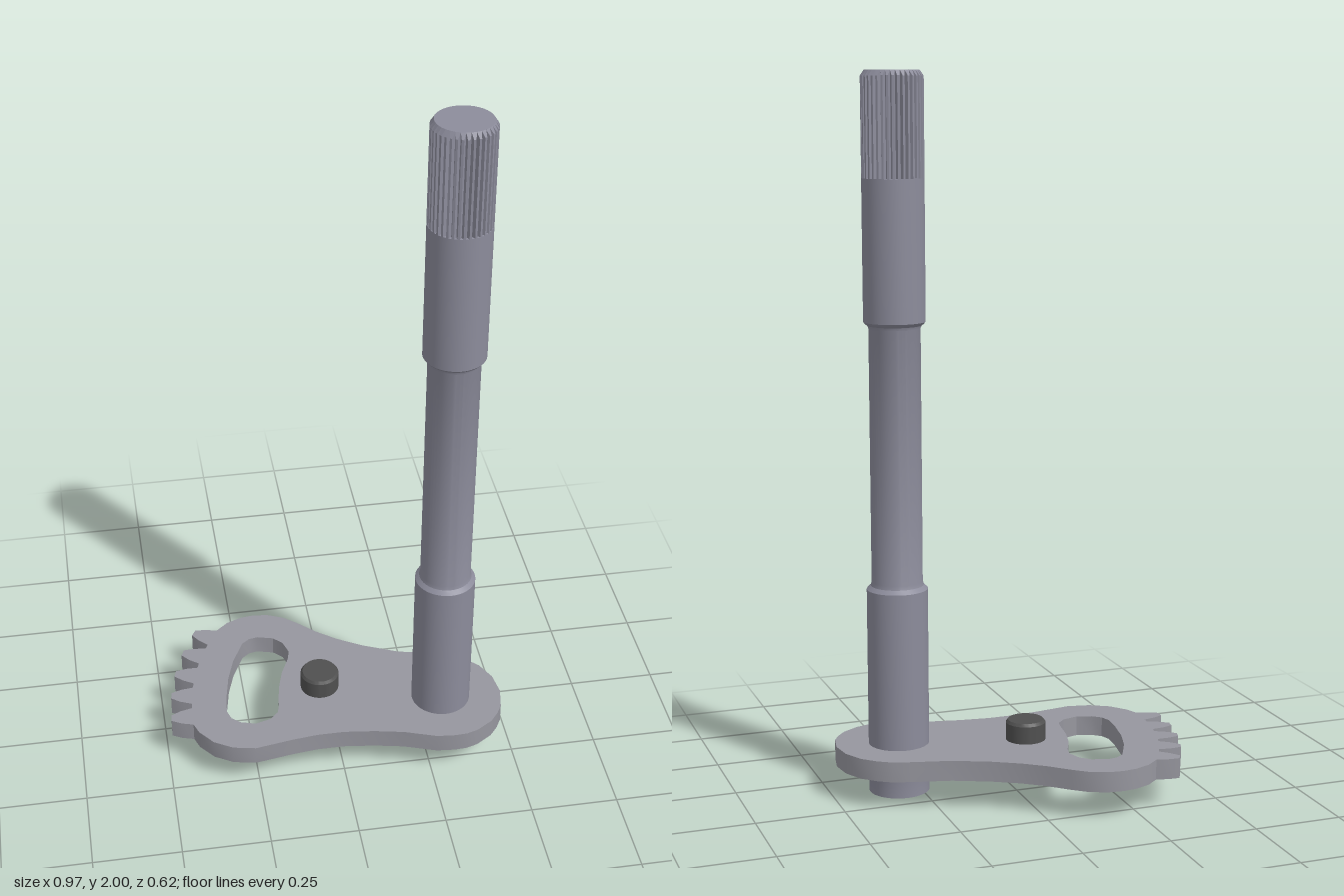
import * as THREE from 'three';
import { toCreasedNormals } from 'three/addons/utils/BufferGeometryUtils.js';

const AXIS = { x: 0.306, z: 0.13 }; // shaft centre, also the centre of the gear sector

const paint = (color) => new THREE.MeshStandardMaterial({ color });

function addMesh(parent, name, geometry, material) {
  const mesh = new THREE.Mesh(geometry, material);
  mesh.name = name;
  parent.add(mesh);
  return mesh;
}

// Turned part from [radius, height] pairs, with crisp edges
function turned(profile, segments = 48) {
  const points = profile.map(([r, y]) => new THREE.Vector2(r, y));
  return toCreasedNormals(new THREE.LatheGeometry(points, segments), 0.4);
}

// Five gear teeth on an arc around the shaft, listed from back to front
function toothPoints() {
  const points = [];
  const corners = [[0.732, 2.74], [0.765, 1.95], [0.793, 0.85], [0.793, -0.85], [0.765, -1.95], [0.732, -2.74]];
  for (let k = 4; k >= 0; k--) {
    for (const [r, offset] of corners) {
      const a = THREE.MathUtils.degToRad(1.8 + 6.95 * k + offset);
      points.push([AXIS.x - r * Math.cos(a), AXIS.z - r * Math.sin(a)]);
    }
  }
  return points;
}

// Flat sector plate with curved slot; points are [x, z]
function plateGeometry() {
  const body = [
    [-0.413, 0.177], [-0.376, 0.224], [-0.324, 0.255], [-0.26, 0.268], [-0.15, 0.25], [-0.077, 0.242],
    [0, 0.242], [0.087, 0.253], [0.17, 0.27], [0.262, 0.302], [0.314, 0.307], [0.35, 0.305], [0.383, 0.295],
    [0.43, 0.265], [0.455, 0.235], [0.472, 0.205], [0.484, 0.143], [0.475, 0.078], [0.447, 0.023],
    [0.41, -0.013], [0.374, -0.036], [0.327, -0.05], [0.217, -0.078], [0.118, -0.122], [0.046, -0.164],
    [-0.012, -0.208], [-0.064, -0.258], [-0.103, -0.29], [-0.15, -0.31], [-0.194, -0.315],
    [-0.233, -0.31], [-0.277, -0.292],
  ];
  const slot = [
    [-0.194, -0.211], [-0.147, -0.198], [-0.121, -0.172], [-0.108, -0.13], [-0.116, -0.096],
    [-0.142, -0.039], [-0.16, 0.026], [-0.168, 0.078], [-0.171, 0.104], [-0.178, 0.13], [-0.202, 0.154],
    [-0.248, 0.167], [-0.29, 0.154], [-0.314, 0.133], [-0.324, 0.102], [-0.319, 0.047], [-0.303, -0.039],
    [-0.28, -0.112], [-0.243, -0.188], [-0.22, -0.206],
  ];
  const flat = (list) => list.map(([x, z]) => new THREE.Vector2(x, -z));
  const shape = new THREE.Shape(flat([...body, ...toothPoints()]));
  shape.holes.push(new THREE.Path(flat(slot)));
  const geometry = new THREE.ExtrudeGeometry(shape, { depth: 0.057, bevelEnabled: false });
  geometry.rotateX(-Math.PI / 2).translate(0, 0.081, 0);
  return toCreasedNormals(geometry, 0.5);
}

// Serrated shaft end: flat-topped ridges, V grooves and a chamfered rim
function splineGeometry(bottom, top, count = 36) {
  const inner = 0.075, outer = 0.085, shoulder = top - 0.015;
  const positions = [];
  const step = (Math.PI * 2) / count;
  const at = (r, a, y) => [r * Math.sin(a), y, r * Math.cos(a)];
  const tri = (a, b, c) => positions.push(...a, ...b, ...c);
  for (let i = 0; i < count; i++) {
    const ring = [[inner, 0, top], [outer, 0.3, shoulder], [outer, 0.7, shoulder], [inner, 1, top]];
    const low = ring.map(([r, f]) => at(r, (i + f) * step, bottom));
    const high = ring.map(([r, f, y]) => at(r, (i + f) * step, y));
    for (let j = 0; j < 3; j++) {
      tri(low[j], low[j + 1], high[j + 1]);
      tri(low[j], high[j + 1], high[j]);
    }
    tri(high[0], high[1], high[2]); // chamfer
    tri(high[0], high[2], high[3]);
    tri([0, top, 0], high[0], high[3]); // end face
  }
  const geometry = new THREE.BufferGeometry();
  geometry.setAttribute('position', new THREE.Float32BufferAttribute(positions, 3));
  geometry.computeVertexNormals();
  return geometry;
}

export function createModel() {
  const model = new THREE.Group();
  model.name = 'sectorGearShaft';
  const steel = paint(0x8c8c9b);

  addMesh(model, 'sectorPlate', plateGeometry(), paint(0x96969e));

  // Shaft: foot with fillet, lower journal, slim neck, upper journal
  const shaft = new THREE.Group();
  shaft.name = 'shaft';
  shaft.position.set(AXIS.x, 0, AXIS.z);
  model.add(shaft);
  addMesh(shaft, 'shaftBody', turned([
    [0, 0], [0.085, 0], [0.085, 0.053], [0.087, 0.064], [0.093, 0.074], [0.106, 0.081], [0.085, 0.09],
    [0.085, 0.583], [0.08, 0.588], [0.074, 0.594], [0.071, 0.605],
    [0.071, 1.31], [0.074, 1.318], [0.08, 1.322], [0.085, 1.328], [0.085, 1.715], [0, 1.715],
  ]), steel);
  addMesh(shaft, 'splinedEnd', splineGeometry(1.715, 2), steel);

  // Short chamfered stop peg
  const peg = addMesh(model, 'peg', turned([
    [0, 0.12], [0.056, 0.12], [0.056, 0.188], [0.05, 0.196], [0, 0.196],
  ]), paint(0x505050));
  peg.position.set(-0.039, 0, 0.033);

  return model;
}
